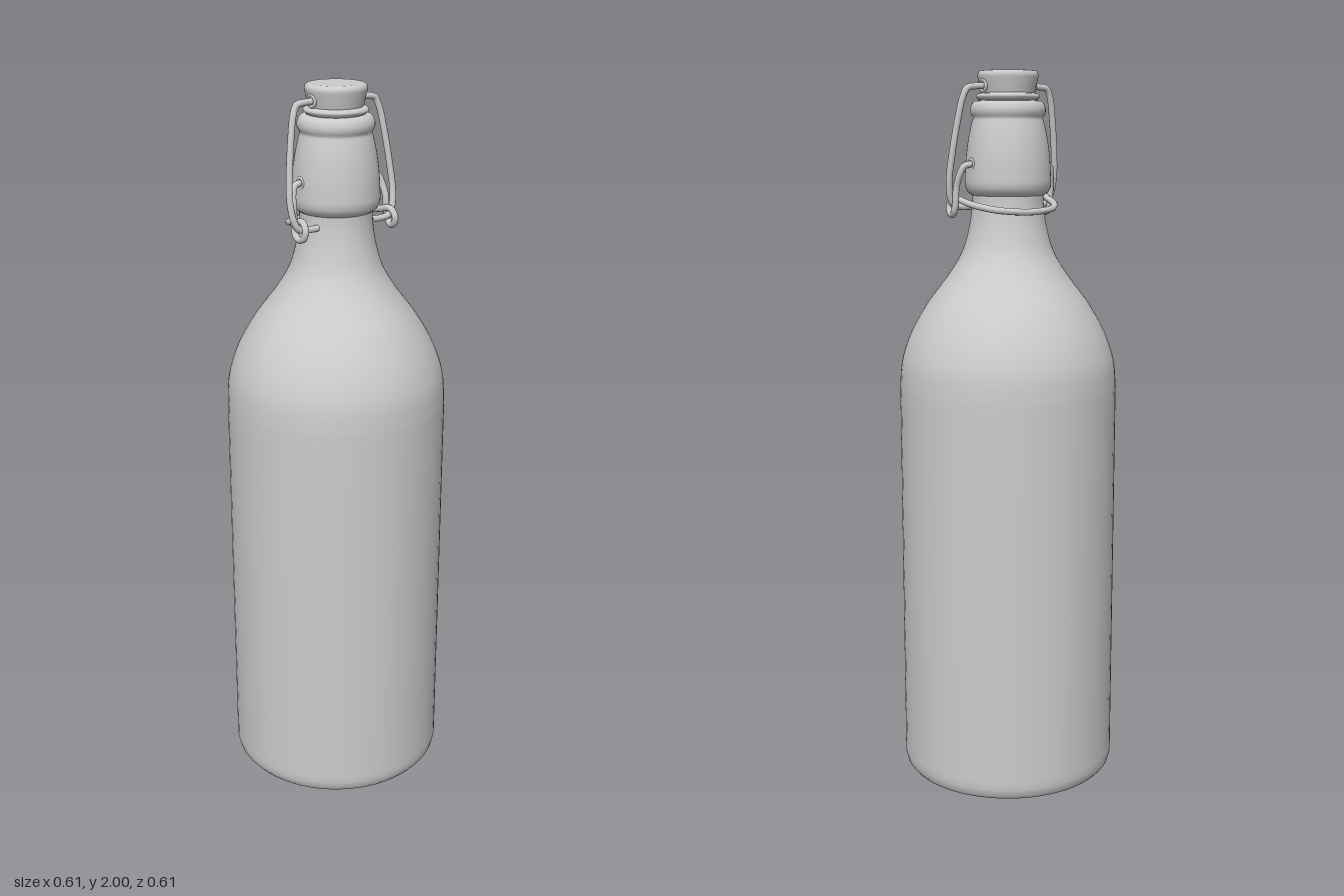
import * as THREE from 'three';

const material = new THREE.MeshStandardMaterial({ color: 0xcccccc });
const WIRE = 0.009;

function addMesh(group, name, geometry) {
  const mesh = new THREE.Mesh(geometry, material);
  mesh.name = name;
  group.add(mesh);
  return mesh;
}

const v2 = (points) => points.map(([r, y]) => new THREE.Vector2(r, y));
const v3 = (points) => points.map((p) => new THREE.Vector3(...p));
const mirrorX = (points) => points.map(([x, y, z]) => [-x, y, z]);

function lathe(points) {
  return new THREE.LatheGeometry(v2(points), 64);
}

function wire(points, segments) {
  const curve = new THREE.CatmullRomCurve3(v3(points), false, 'centripetal');
  return new THREE.TubeGeometry(curve, segments, WIRE, 10, false);
}

// Smoothly sampled stretch of a profile, as [radius, height] pairs
function smooth(points, count) {
  return new THREE.SplineCurve(v2(points)).getPoints(count).map((p) => [p.x, p.y]);
}

export function createModel() {
  const model = new THREE.Group();
  model.name = 'swingTopBottle';

  // Body: shallow base, rounded heel, straight wall, shoulder and neck
  addMesh(model, 'bottleBody', lathe([
    [0, 0.015], [0.15, 0.012], [0.24, 0.004], [0.262, 0],
    [0.275, 0.001], [0.29, 0.008], [0.3, 0.02], [0.305, 0.04], [0.305, 0.06],
    [0.305, 1.1],
    ...smooth([[0.305, 1.13], [0.298, 1.21], [0.271, 1.29], [0.225, 1.37], [0.165, 1.45],
      [0.129, 1.51], [0.11, 1.57], [0.1, 1.63], [0.098, 1.685]], 40),
  ]));

  // Thick collar with a rounded lip at the mouth
  addMesh(model, 'collar', lathe([
    [0.09, 1.665], [0.1, 1.668], [0.111, 1.676], [0.118, 1.69], [0.119, 1.705],
    ...smooth([[0.118, 1.72], [0.116, 1.76], [0.11, 1.81], [0.102, 1.85], [0.096, 1.872]], 12),
    [0.096, 1.877], [0.1, 1.882], [0.103, 1.891], [0.103, 1.901], [0.099, 1.912],
    [0.092, 1.919], [0.08, 1.921], [0.04, 1.921], [0, 1.921],
  ]));

  // Seal and stopper
  addMesh(model, 'seal', lathe([
    [0, 1.918], [0.07, 1.918], [0.08, 1.923], [0.086, 1.929], [0.087, 1.934],
    [0.082, 1.939], [0.07, 1.942], [0, 1.942],
  ]));
  addMesh(model, 'stopper', lathe([
    [0, 1.939], [0.069, 1.939], [0.071, 1.94], [0.073, 1.943], [0.0825, 1.983],
    [0.083, 1.989], [0.081, 1.995], [0.076, 1.999], [0.07, 2], [0.068, 2], [0, 2],
  ]));

  // Wire bail: each arm runs from the stopper down to the hinge bar
  const arm = [
    [0.06, 1.958, 0], [0.1, 1.958, 0], [0.125, 1.953, 0.001], [0.137, 1.93, 0.004],
    [0.151, 1.86, 0.012], [0.163, 1.77, 0.022], [0.167, 1.71, 0.03],
    [0.161, 1.665, 0.037], [0.148, 1.642, 0.04], [0.125, 1.637, 0.041], [0.088, 1.637, 0.041],
  ];
  addMesh(model, 'leftBailArm', wire(arm, 80));
  addMesh(model, 'rightBailArm', wire(mirrorX(arm), 80));

  // Neck wire: pivot in the collar, down into a hinge loop, then round the back
  const side = [
    [0.095, 1.752, 0], [0.118, 1.752, 0], [0.135, 1.747, 0.003], [0.145, 1.725, 0.01],
    [0.15, 1.69, 0.021],
    [0.151, 1.65, 0.024], [0.152, 1.625, 0.031], [0.15, 1.615, 0.046],
    [0.148, 1.622, 0.064], [0.146, 1.64, 0.07], [0.144, 1.657, 0.06],
    [0.142, 1.662, 0.045], [0.138, 1.656, 0.02], [0.132, 1.648, -0.015],
    [0.117, 1.64, -0.055], [0.085, 1.632, -0.09], [0.045, 1.628, -0.107],
  ];
  const back = [[0, 1.626, -0.112]];
  addMesh(model, 'neckWire', wire([...side, ...back, ...mirrorX(side).reverse()], 220));

  // Eyelets where the wires enter the stopper and the collar
  for (const s of [-1, 1]) {
    const label = s > 0 ? 'left' : 'right';
    for (const [name, x, y, r] of [['StopperEyelet', 0.077, 1.96, 0.015], ['CollarEyelet', 0.113, 1.752, 0.014]]) {
      const eyelet = addMesh(model, label + name, new THREE.TorusGeometry(r, 0.005, 8, 24));
      eyelet.rotation.y = Math.PI / 2;
      eyelet.position.set(s * x, y, 0);
    }
  }

  return model;
}
